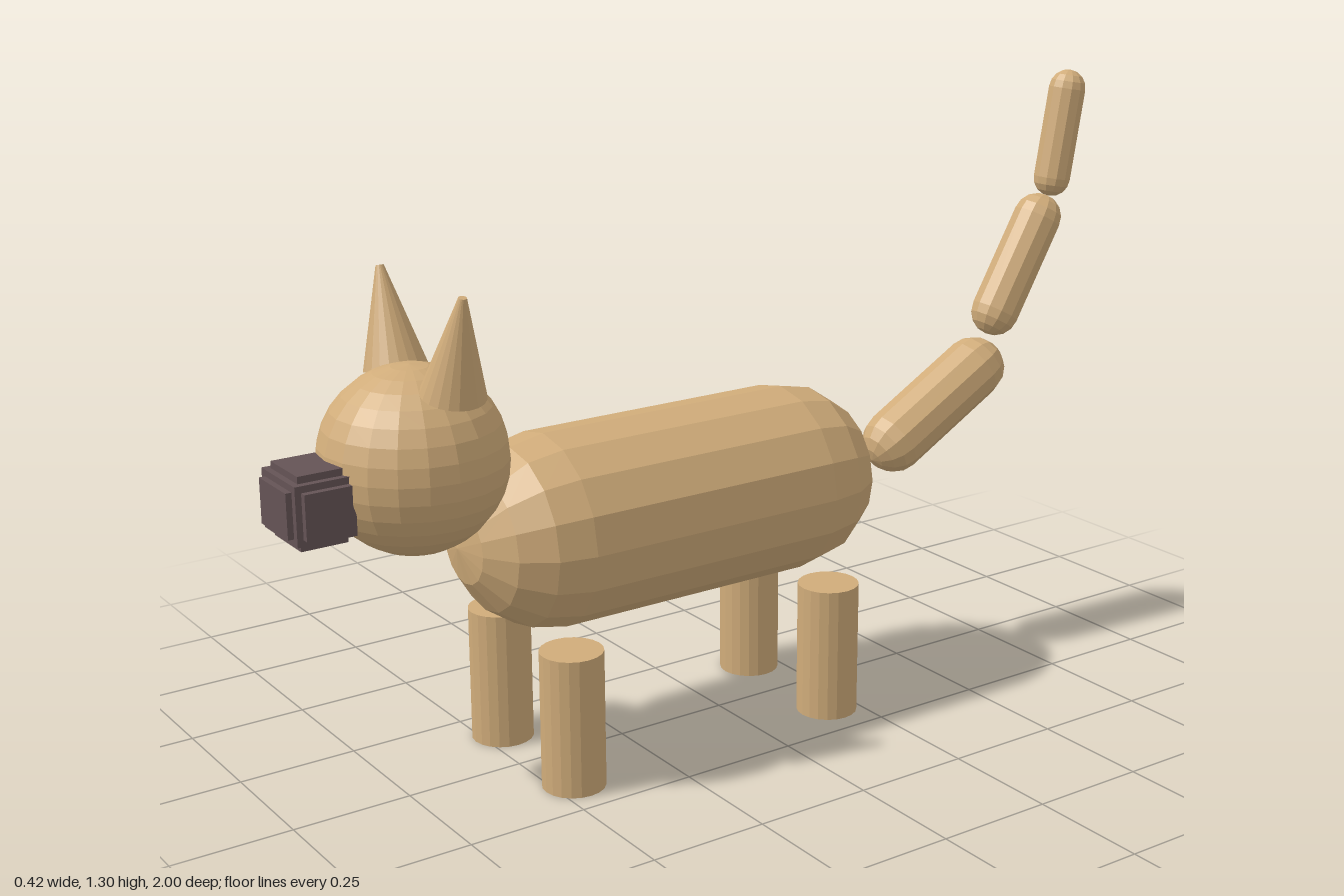
import * as THREE from 'three';

export function createModel() {
  const model = new THREE.Group();
  const fur = new THREE.MeshStandardMaterial({ color: 0xd0ac7a, flatShading: true });
  fur.name = 'tanFur';
  const dark = new THREE.MeshStandardMaterial({ color: 0x655456, flatShading: true });
  dark.name = 'darkMuzzle';

  const add = (name, geometry, material, x, y, z) => {
    const mesh = new THREE.Mesh(geometry, material);
    mesh.name = name;
    mesh.position.set(x, y, z);
    model.add(mesh);
    return mesh;
  };

  // Capsule in the x = 0 plane between two cap centres given as [y, z]
  const capsule = (name, radius, sides, [y0, z0], [y1, z1]) => {
    const length = Math.hypot(y1 - y0, z1 - z0);
    const mesh = add(name, new THREE.CapsuleGeometry(radius, length, 4, sides), fur,
      0, (y0 + y1) / 2, (z0 + z1) / 2);
    mesh.rotation.x = Math.atan2(z1 - z0, y1 - y0);
  };

  // Body and head
  capsule('body', 0.2, 16, [0.495, -0.16], [0.495, 0.425]);
  add('head', new THREE.SphereGeometry(0.186, 20, 16), fur, 0, 0.696, 0.711);

  // Tail in three separate segments, curving upward
  capsule('tailBase', 0.07, 12, [0.517, -0.475], [0.649, -0.705]);
  capsule('tailMiddle', 0.055, 12, [0.772, -0.765], [0.974, -0.882]);
  capsule('tailTip', 0.042, 12, [1.061, -0.923], [1.26, -0.958]);

  // Legs and outward-tilted ears, mirrored
  const legGeometry = new THREE.CylinderGeometry(0.065, 0.065, 0.29, 20);
  const earGeometry = new THREE.CylinderGeometry(0.008, 0.064, 0.2, 20);
  for (const [side, s] of [['left', 1], ['right', -1]]) {
    add(side + 'FrontLeg', legGeometry, fur, s * 0.143, 0.145, 0.456);
    add(side + 'BackLeg', legGeometry, fur, s * 0.143, 0.145, -0.184);
    const ear = add(side + 'Ear', earGeometry, fur, s * 0.14, 0.941, 0.682);
    ear.rotation.z = -s * 0.25;
  }

  // Muzzle: stepped block of crossed boxes
  const boxes = [
    ['muzzleWidth', 0.172, 0.09, 0.095],
    ['muzzleHeight', 0.116, 0.145, 0.095],
    ['muzzleDepth', 0.116, 0.09, 0.144],
    ['muzzleCore', 0.144, 0.117, 0.12],
  ];
  for (const [name, w, h, d] of boxes) {
    add(name, new THREE.BoxGeometry(w, h, d), dark, 0, 0.652, 0.928);
  }

  return model;
}
